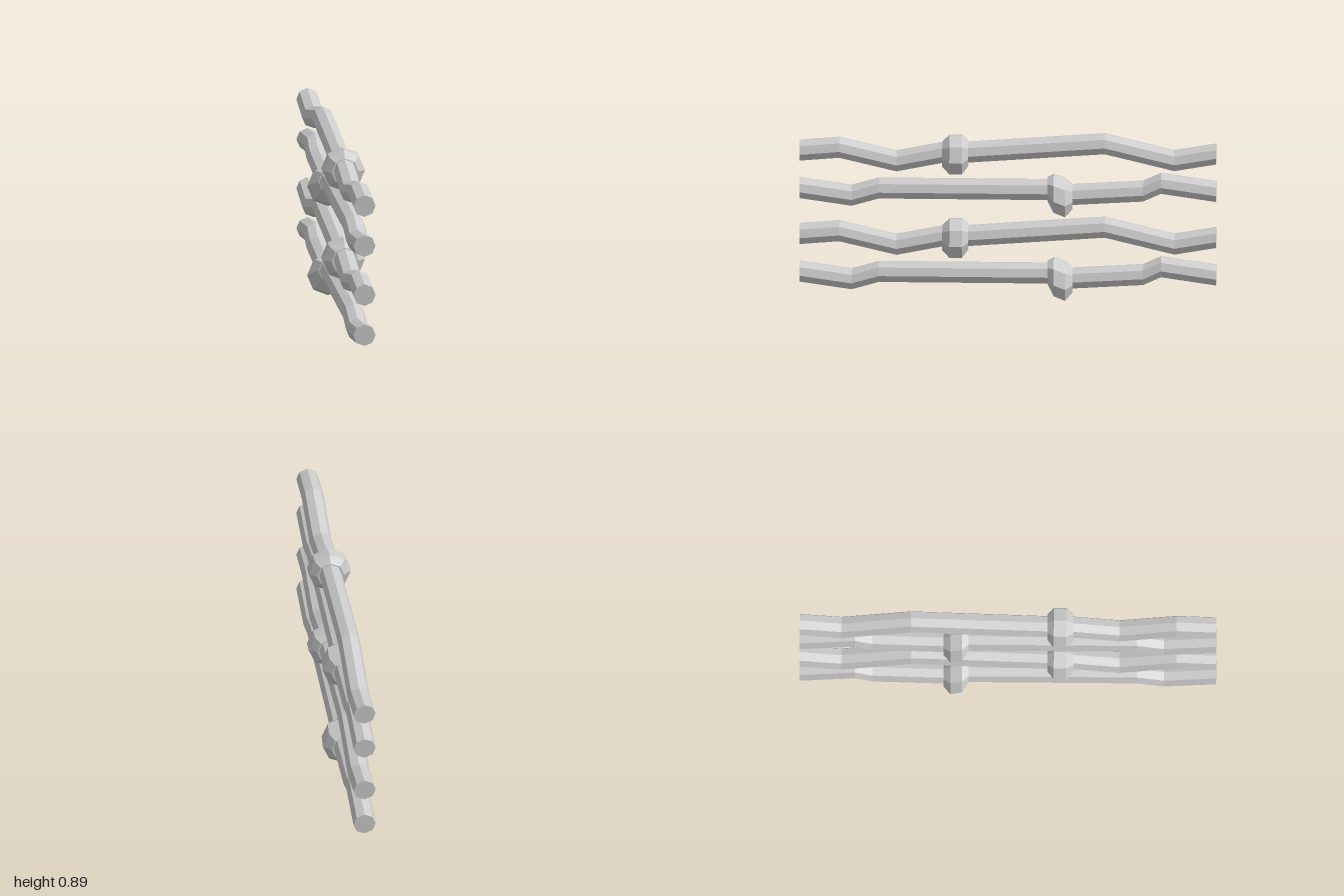
import * as THREE from 'three';

const SIDES = 8;
const PITCH = 0.443; // vertical distance between repeated pairs

// Lofts octagonal sections [z, centreY, radius], listed from front (+z) to back.
function loft(sections) {
  const pos = [], index = [];
  for (const [z, y, r] of sections) {
    for (let i = 0; i < SIDES; i++) {
      const a = (i / SIDES) * Math.PI * 2;
      pos.push(Math.sin(a) * r, y + Math.cos(a) * r, z);
    }
  }
  const last = sections.length - 1;
  for (let s = 0; s < last; s++) {
    for (let i = 0; i < SIDES; i++) {
      const a = s * SIDES + i, b = s * SIDES + (i + 1) % SIDES;
      index.push(a, b, a + SIDES, b, b + SIDES, a + SIDES);
    }
  }
  // flat end caps
  for (let i = 1; i < SIDES - 1; i++) {
    index.push(0, i + 1, i);
    const e = last * SIDES;
    index.push(e, e + i, e + i + 1);
  }
  const g = new THREE.BufferGeometry();
  g.setAttribute('position', new THREE.Float32BufferAttribute(pos, 3));
  g.setIndex(index);
  const flat = g.toNonIndexed();
  flat.computeVertexNormals();
  return flat;
}

const R = 0.054;
const rod = (points) => loft(points.map(([z, y]) => [z, y, R]));

export function createModel() {
  const model = new THREE.Group();
  model.name = 'stackedBranches';
  const material = new THREE.MeshStandardMaterial({ color: 0xcccccc, flatShading: true });

  // Two branch shapes, each a bent rod with a knot
  const branches = [
    {
      name: 'lowerBranch',
      rod: rod([[1, 0.142], [0.75, 0.104], [0.62, 0.144], [-0.19, 0.144],
        [-0.31, 0.119], [-0.65, 0.141], [-0.735, 0.183], [-1, 0.142]]),
      knot: loft([[-0.19, 0.148, 0.06], [-0.22, 0.125, 0.1],
        [-0.275, 0.103, 0.102], [-0.31, 0.107, 0.065]]),
    },
    {
      name: 'upperBranch',
      rod: rod([[1, 0.341], [0.81, 0.358], [0.535, 0.289], [0.31, 0.337],
        [0.19, 0.339], [-0.465, 0.39], [-0.8, 0.304], [-1, 0.341]]),
      knot: loft([[0.315, 0.328, 0.066], [0.28, 0.325, 0.102],
        [0.22, 0.325, 0.102], [0.19, 0.332, 0.066]]),
    },
  ];

  // The pair repeats once above itself
  for (let level = 0; level < 2; level++) {
    for (const b of branches) {
      const group = new THREE.Group();
      group.name = b.name + (level + 1);
      for (const part of ['rod', 'knot']) {
        const mesh = new THREE.Mesh(b[part], material);
        mesh.name = part;
        group.add(mesh);
      }
      group.position.y = level * PITCH;
      model.add(group);
    }
  }
  return model;
}
